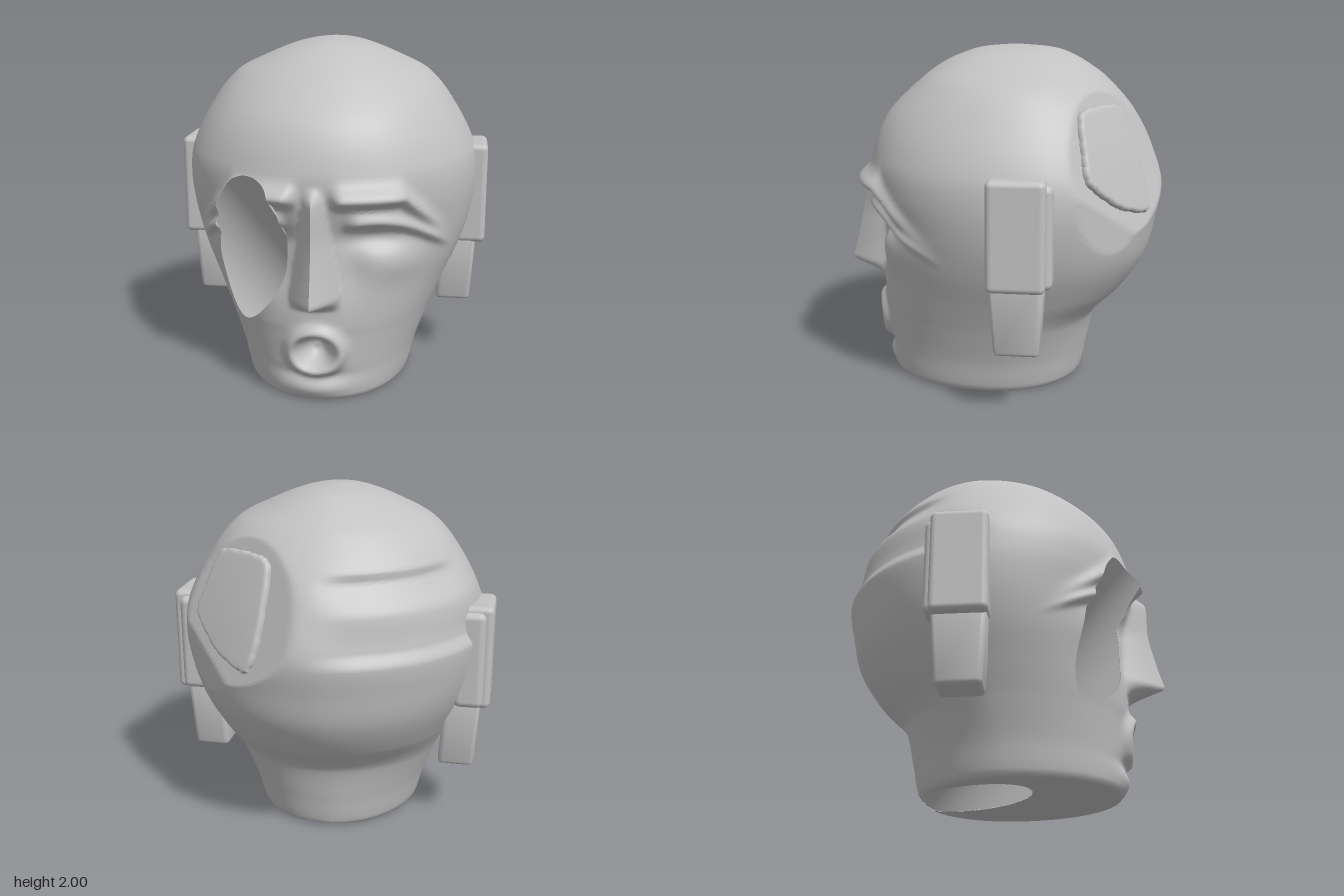
import * as THREE from 'three';
import { toCreasedNormals } from 'three/addons/utils/BufferGeometryUtils.js';
import { RoundedBoxGeometry } from 'three/addons/geometries/RoundedBoxGeometry.js';

const { lerp, smoothstep: ss, clamp } = THREE.MathUtils;

// Head rings: height, half width, front z, back z, centre z
const RINGS = [
  [0.00, 0.47, 0.67, -0.46, 0.06], [0.03, 0.49, 0.69, -0.485, 0.06],
  [0.20, 0.535, 0.705, -0.52, 0.04], [0.40, 0.61, 0.725, -0.565, 0.0],
  [0.47, 0.64, 0.735, -0.61, -0.02], [0.60, 0.70, 0.74, -0.74, -0.06],
  [0.80, 0.79, 0.735, -0.865, -0.1], [1.00, 0.85, 0.745, -0.915, -0.12],
  [1.20, 0.873, 0.79, -0.945, -0.13], [1.37, 0.85, 0.785, -0.9, -0.12],
  [1.60, 0.735, 0.69, -0.79, -0.1], [1.80, 0.575, 0.49, -0.62, -0.09],
  [1.90, 0.38, 0.35, -0.485, -0.08], [1.96, 0.23, 0.21, -0.37, -0.07],
  [1.985, 0.13, 0.11, -0.27, -0.07], [2.00, 0.02, -0.05, -0.09, -0.07]
];

// Smooth interpolation of the ring table
function ringAt(y) {
  let i = 0;
  while (i < RINGS.length - 2 && y > RINGS[i + 1][0]) i++;
  const a = RINGS[i], b = RINGS[i + 1], p = RINGS[Math.max(0, i - 1)], q = RINGS[Math.min(RINGS.length - 1, i + 2)];
  const h = b[0] - a[0], t = clamp((y - a[0]) / h, 0, 1), t2 = t * t, t3 = t2 * t;
  return [1, 2, 3, 4].map(k => {
    const ma = (b[k] - p[k]) / (b[0] - p[0]) * h, mb = (q[k] - a[k]) / (q[0] - a[0]) * h;
    return (2 * t3 - 3 * t2 + 1) * a[k] + (t3 - 2 * t2 + t) * ma + (3 * t2 - 2 * t3) * b[k] + (t3 - t2) * mb;
  });
}

const gauss = (x, w) => Math.exp(-(x * x) / (w * w));
// Ridge with a soft upper side and a sharper underside
const ridge = (d, up, down) => gauss(d, d > 0 ? up : down);

// Relief of the face at x, y
function faceRelief(x, y) {
  const ax = Math.abs(x);
  let d = 0;
  // nose
  const t = clamp((1.27 - y) / 0.6, 0, 1), w = lerp(0.05, 0.15, t);
  d += lerp(0.07, 0.22, t) * Math.max(0, 1 - ax / w) * ss(y, 0.56, 0.66) * (1 - ss(y, 1.2, 1.3));
  // brow and eyelid
  const browY = 1.225 - Math.max(0, ax - 0.46) * 1.1;
  d += 0.08 * ridge(y - browY, 0.06, 0.045) * ss(ax, 0.07, 0.15) * (1 - 0.5 * ss(ax, 0.4, 0.55)) * (1 - ss(ax, 0.55, 0.74));
  const lidY = 1.085 - 1.25 * (ax - 0.3) ** 2;
  d += 0.05 * ridge(y - lidY, 0.05, 0.03) * ss(ax, 0.14, 0.24) * (1 - ss(ax, 0.58, 0.74));
  // eye socket and eye
  d -= 0.06 * gauss(ax - 0.34, 0.17) * gauss(y - 0.98, 0.07);
  d -= 0.03 * gauss(ax - 0.2, 0.09) * gauss(y - 0.85, 0.2);
  d += 0.02 * gauss(ax - 0.43, 0.16) * gauss(y - 0.82, 0.1);
  // round open mouth and chin
  const m = Math.hypot(x / 0.155, (y - 0.315) / 0.145);
  d += 0.05 * gauss(m - 0.86, 0.28) - 0.11 * (1 - ss(m, 0.15, 0.85));
  d += 0.025 * gauss(x, 0.17) * gauss(y - 0.08, 0.05);
  d -= 0.02 * gauss(x, 0.17) * gauss(y - 0.16, 0.035);
  return d;
}

// Distance of the head surface from its upright axis
function headRadius(a, y) {
  const [w, f, b, zc] = ringAt(y), s = Math.sin(a), c = Math.cos(a);
  // the back right of the skull is flatter than the back left
  const n = c > 0 ? 2.05 : s > 0 ? 2.1 : 1.82, depth = c > 0 ? f - zc : zc - b;
  let r = Math.pow(Math.pow(Math.abs(s) / w, n) + Math.pow(Math.abs(c) / depth, n), -1 / n);
  if (c > 0) r += faceRelief(r * s, y) * ss(c, 0.1, 0.4);
  // ledge and crescent groove across the back right of the skull
  const ledge = ss(Math.cos(a - Math.PI * 1.27), 0.6, 0.9), groove = ss(Math.cos(a - Math.PI * 1.22), 0.75, 0.95);
  r -= ledge * 0.035 * ss(y, 1.16, 1.25) * (1 - ss(y, 1.27, 1.48));
  r -= groove * 0.035 * (1 - ss(y, 1.58, 1.65)) * ss(y, 1.42, 1.58);
  return { r, zc };
}

// Slanted oval tunnel from the right eye to the base of the neck
const START = new THREE.Vector3(-0.07, 0, -0.17);
const AXIS = new THREE.Vector3(-0.31, 0.86, 0.79).normalize();
const SIDE = new THREE.Vector3().crossVectors(AXIS, new THREE.Vector3(0, 1, 0)).normalize().applyAxisAngle(AXIS, -0.4);
const RISE = new THREE.Vector3().crossVectors(AXIS, SIDE);
const TA = 0.23, TB = 0.272;
function tunnelDistance(p) {
  const q = p.clone().sub(START);
  if (q.dot(AXIS) < -0.6) return 1;
  return Math.hypot(q.dot(SIDE) / TA, q.dot(RISE) / TB) - 1;
}

// Flat facets on the back left of the skull; the first lies under the patch
const FACET = new THREE.Vector3(0.51, 0.326, -0.794).normalize();
const PLANES = [[FACET, 1.2], [new THREE.Vector3(0.7, 0, -0.714), 0.9]];

function headGeometry() {
  const N = 220, M = 230, CAP = 14, rows = [];
  for (let j = 0; j <= CAP + M + 1; j++) {
    const y = j <= CAP ? 0 : 2 * (1 - Math.pow(1 - Math.min(1, (j - CAP) / M), 1.5));
    const k = j < CAP ? j / CAP : j > CAP + M ? 0 : 1, row = [];
    for (let i = 0; i < N; i++) {
      const t = i / N * Math.PI * 2, a = t - 0.4 * Math.sin(t);
      const { r, zc } = headRadius(a, y);
      const p = new THREE.Vector3(Math.sin(a) * r * k, y, zc + Math.cos(a) * r * k);
      PLANES.forEach(([n, d]) => p.addScaledVector(n, -Math.max(0, p.dot(n) - d)));
      p.g = tunnelDistance(p);
      row.push(p);
    }
    rows.push(row);
  }
  const out = [];
  // Keep only the part of each triangle outside the tunnel
  const addTriangle = (...tri) => {
    const poly = [];
    tri.forEach((p, i) => {
      const q = tri[(i + 1) % 3];
      if (p.g >= 0) poly.push(p);
      if ((p.g >= 0) !== (q.g >= 0)) poly.push(p.clone().lerp(q, p.g / (p.g - q.g)));
    });
    for (let i = 2; i < poly.length; i++) [poly[0], poly[i - 1], poly[i]].forEach(p => out.push(p.x, p.y, p.z));
  };
  for (let j = 0; j < rows.length - 1; j++) for (let i = 0; i < N; i++) {
    const k = (i + 1) % N, a = rows[j][i], b = rows[j][k], c = rows[j + 1][k], d = rows[j + 1][i];
    if (j > 0) addTriangle(a, b, c);
    if (j < rows.length - 2) addTriangle(a, c, d);
  }
  const g = new THREE.BufferGeometry();
  g.setAttribute('position', new THREE.Float32BufferAttribute(out, 3));
  return toCreasedNormals(g, 1.25);
}

// Tunnel wall, ending where it meets the head surface
function tunnelGeometry() {
  const inside = p => {
    if (p.y < 0 || p.y > 2) return false;
    const { zc } = headRadius(0, p.y), a = Math.atan2(p.x, p.z - zc);
    return Math.hypot(p.x, p.z - zc) < headRadius(a, p.y).r;
  };
  const N = 96, L = 12, pos = [], idx = [];
  for (let i = 0; i <= N; i++) {
    const a = i / N * Math.PI * 2;
    const at = s => START.clone().addScaledVector(AXIS, s)
      .addScaledVector(SIDE, Math.cos(a) * TA).addScaledVector(RISE, Math.sin(a) * TB);
    // search inwards from beyond each end
    const find = (s, step) => { while (Math.abs(s - 0.6) > 0.01 && !inside(at(s))) s += step; return s; };
    const lo = find(-0.6, 0.004), hi = find(1.8, -0.004);
    for (let j = 0; j <= L; j++) pos.push(...at(lerp(lo, hi, j / L)).toArray());
  }
  for (let i = 0; i < N; i++) for (let j = 0; j < L; j++) {
    const a = i * (L + 1) + j, b = a + L + 1;
    idx.push(a, b, b + 1, a, b + 1, a + 1);
  }
  const g = new THREE.BufferGeometry();
  g.setAttribute('position', new THREE.Float32BufferAttribute(pos, 3));
  g.setIndex(idx);
  g.computeVertexNormals();
  return g;
}

export function createModel() {
  const model = new THREE.Group();
  const stone = new THREE.MeshStandardMaterial({ color: 0xc2c2c2, side: THREE.DoubleSide });
  stone.name = 'stone';
  const add = (name, geometry) => {
    const mesh = new THREE.Mesh(geometry, stone);
    mesh.name = name;
    model.add(mesh);
    return mesh;
  };
  add('head', headGeometry());
  add('tunnelWall', tunnelGeometry());

  // Block ears with hanging lobes
  for (const s of [1, -1]) {
    const side = s > 0 ? 'left' : 'right';
    add(side + 'Ear', new RoundedBoxGeometry(0.2, 0.61, 0.32, 3, 0.035)).position.set(s * 0.835, 1.07, -0.16);
    add(side + 'EarBack', new RoundedBoxGeometry(0.17, 0.57, 0.12, 3, 0.04)).position.set(s * 0.81, 1.06, -0.295);
    const lobe = new RoundedBoxGeometry(0.21, 0.46, 0.28, 3, 0.03), p = lobe.attributes.position;
    for (let i = 0; i < p.count; i++) {
      const t = (p.getY(i) + 0.23) / 0.46;
      p.setXYZ(i, p.getX(i) + s * 0.03 * t, p.getY(i), p.getZ(i) * lerp(0.9, 1.1, t));
    }
    add(side + 'EarLobe', toCreasedNormals(lobe, 0.9)).position.set(s * 0.75, 0.61, -0.16);
  }

  // Ragged patch on the back of the skull, with rounded rim
  const corners = [[-0.21, 0.28], [0, 0.3], [0.15, 0.26], [0.19, -0.1], [0.16, -0.29], [-0.08, -0.23], [-0.29, -0.07], [-0.27, 0.08]];
  const loop = new THREE.CatmullRomCurve3(corners.map(c => new THREE.Vector3(c[0], c[1], 0)), true, 'catmullrom', 0.35);
  const outline = loop.getPoints(90).slice(0, 90).map((p, i) => {
    const k = 1 + 0.02 * Math.sin(i * 2.1) * Math.sin(i * 0.7);
    return new THREE.Vector2(p.x * k, p.y * k);
  });
  const slab = new THREE.ExtrudeGeometry(new THREE.Shape(outline),
    { depth: 0.02, bevelSize: 0.02, bevelThickness: 0.02, bevelSegments: 3 });
  slab.translate(0, 0, -0.04);
  const right = new THREE.Vector3(-0.841, 0, -0.54).normalize();
  const up = new THREE.Vector3().crossVectors(FACET, right);
  slab.applyMatrix4(new THREE.Matrix4().makeBasis(right, up, FACET).setPosition(0.445, 1.4, -0.692));
  add('skullPatch', toCreasedNormals(slab, 0.9));
  return model;
}
